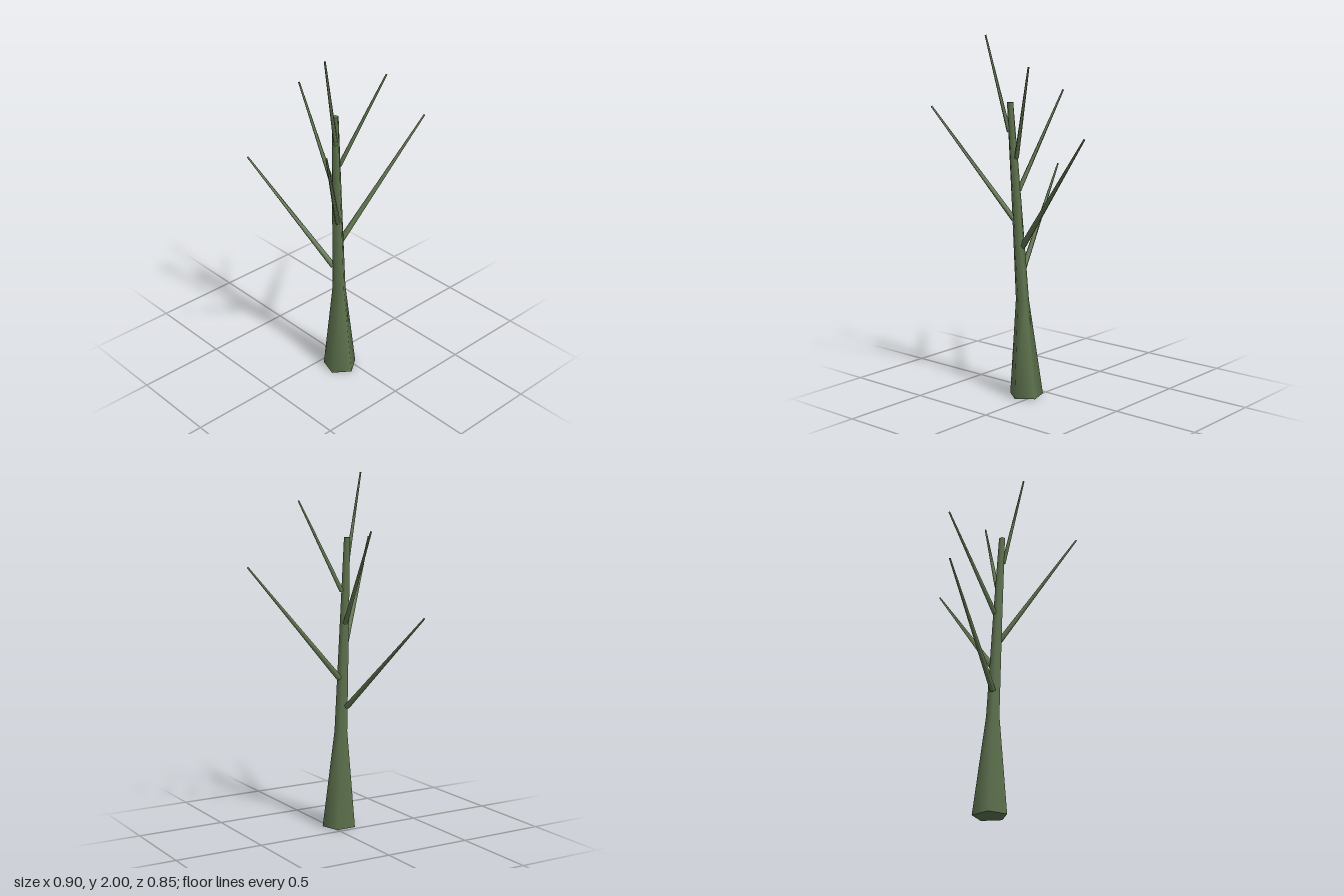
import * as THREE from 'three';

const SIDES = 5;

export function createModel() {
  const tree = new THREE.Group();
  tree.name = 'bareTree';
  const bark = new THREE.MeshStandardMaterial({ color: 0x617650, roughness: 1 });

  // Trunk: a pentagonal column moved onto rings of [x, y, z, radius]
  const rings = [
    [-0.057, 0, 0.104, 0.097],
    [-0.075, 0.55, 0.114, 0.038],
    [-0.103, 1.1, 0.127, 0.028],
    [-0.132, 1.64, 0.143, 0.018],
  ];
  const trunkGeo = new THREE.CylinderGeometry(1, 1, 1, SIDES, rings.length - 1);
  const pos = trunkGeo.attributes.position;
  for (let i = 0; i < pos.count; i++) {
    const [x, y, z, r] = rings[Math.round((pos.getY(i) + 0.5) * (rings.length - 1))];
    pos.setXYZ(i, x + pos.getX(i) * r, y, z + pos.getZ(i) * r);
  }
  const trunk = new THREE.Mesh(trunkGeo, bark);
  trunk.name = 'trunk';
  tree.add(trunk);

  // Branches: straight tapered limbs from the trunk surface, lowest first
  const up = new THREE.Vector3(0, 1, 0);
  const branches = [
    // base, tip, base radius
    [[-0.098, 0.69, 0.09], [-0.265, 1.235, -0.425], 0.017],
    [[-0.068, 0.85, 0.116], [0.447, 1.49, 0.228], 0.018],
    [[-0.112, 1.0, 0.14], [-0.45, 1.62, 0.422], 0.016],
    [[-0.1, 1.16, 0.11], [-0.059, 1.69, -0.22], 0.014],
    [[-0.093, 1.34, 0.136], [0.108, 1.843, 0.267], 0.013],
    [[-0.135, 1.48, 0.15], [-0.255, 1.998, 0.2], 0.012],
  ];
  branches.forEach(([base, tip, radius], i) => {
    const a = new THREE.Vector3(...base);
    const b = new THREE.Vector3(...tip);
    const dir = b.clone().sub(a);
    const branch = new THREE.Mesh(
      new THREE.CylinderGeometry(0.005, radius, dir.length(), SIDES), bark);
    branch.position.copy(a).add(b).multiplyScalar(0.5);
    branch.quaternion.setFromUnitVectors(up, dir.normalize());
    branch.name = `branch${i + 1}`;
    tree.add(branch);
  });

  return tree;
}
